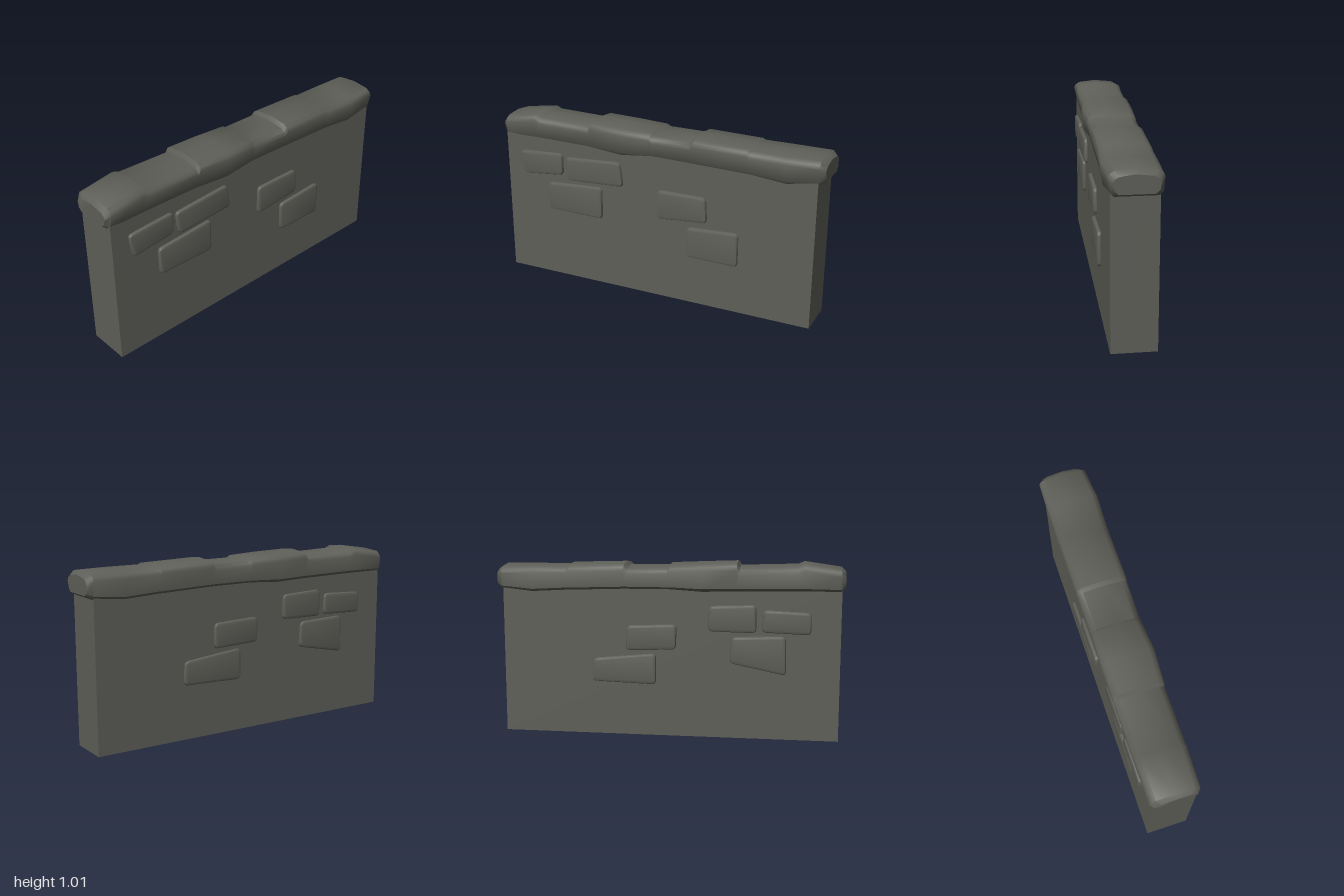
import * as THREE from 'three';
import { toCreasedNormals } from 'three/addons/utils/BufferGeometryUtils.js';

// Outline of a four-cornered stone with rounded corners
function stoneShape(corners, r = 0.025) {
  const pts = corners.map(([x, y]) => new THREE.Vector2(x, y));
  const shape = new THREE.Shape();
  pts.forEach((p, i) => {
    const prev = pts[(i + 3) % 4], next = pts[(i + 1) % 4];
    const a = p.clone().add(prev.clone().sub(p).setLength(r));
    const b = p.clone().add(next.clone().sub(p).setLength(r));
    if (i === 0) shape.moveTo(a.x, a.y); else shape.lineTo(a.x, a.y);
    shape.quadraticCurveTo(p.x, p.y, b.x, b.y);
  });
  shape.closePath();
  return shape;
}

function stoneGeometry(corners) {
  const geo = new THREE.ExtrudeGeometry(stoneShape(corners), {
    depth: 0.02, bevelThickness: 0.012, bevelSize: 0.014, bevelOffset: -0.014,
    bevelSegments: 2, curveSegments: 3,
  });
  return toCreasedNormals(geo, 0.75);
}

// Cross-section of the coping: top, bottom, front and back limits, drawn in by an inset
function copingSection([x, top, bottom, front, back, inset = 0]) {
  const t = top - inset, b = bottom + inset, f = front - inset, k = back + inset;
  return [
    [k + 0.028, b], [0, b], [f - 0.03, b], [f - 0.013, b + 0.018],
    [f, t - 0.045], [f - 0.009, t - 0.026], [f - 0.034, t - 0.011],
    [0, t],
    [k + 0.034, t - 0.011], [k + 0.009, t - 0.026], [k, t - 0.045], [k + 0.006, b + 0.018],
  ].map(([z, y]) => [x, y, z]);
}

// Skin a row of sections and close both ends
function loft(sections) {
  const n = sections[0].length, last = (sections.length - 1) * n, index = [];
  for (let i = 0; i < sections.length - 1; i++) {
    for (let j = 0; j < n; j++) {
      const a = i * n + j, b = i * n + (j + 1) % n;
      index.push(a, a + n, b + n, a, b + n, b);
    }
  }
  for (let j = 1; j < n - 1; j++) {
    index.push(0, j, j + 1, last, last + j + 1, last + j);
  }
  const geo = new THREE.BufferGeometry();
  geo.setAttribute('position', new THREE.Float32BufferAttribute(sections.flat(2), 3));
  geo.setIndex(index);
  return toCreasedNormals(geo.toNonIndexed(), 0.7);
}

export function createModel() {
  const group = new THREE.Group();
  const stone = new THREE.MeshStandardMaterial({ color: 0x5e5f58, side: THREE.DoubleSide });
  stone.name = 'grey stone';
  const add = (name, geo, parent = group) => {
    const mesh = new THREE.Mesh(geo, stone);
    mesh.name = name;
    parent.add(mesh);
    return mesh;
  };

  // Wall body, open underneath
  const wall = new THREE.BoxGeometry(1.945, 0.88, 0.245);
  wall.setIndex([...wall.index.array].filter((_, i) => i < 18 || i >= 24));
  wall.clearGroups();
  add('wall', wall).position.set(-0.0075, 0.44, -0.0025);

  // Coping with uneven slabs: x, top, bottom, front, back, inset
  const stations = [
    [-1.0, 0.982, 0.85, 0.13, -0.142, 0.018],
    [-0.975, 0.986, 0.85, 0.132, -0.146],
    [-0.77, 1.015, 0.853, 0.135, -0.15],
    [-0.735, 1.0, 0.853, 0.135, -0.15],
    [-0.41, 0.99, 0.848, 0.136, -0.15],
    [-0.395, 1.015, 0.848, 0.138, -0.15],
    [-0.2, 1.008, 0.843, 0.151, -0.152],
    [-0.015, 1.0, 0.85, 0.138, -0.146],
    [0, 0.988, 0.85, 0.137, -0.146],
    [0.23, 0.986, 0.85, 0.141, -0.147],
    [0.25, 1.005, 0.85, 0.142, -0.147],
    [0.57, 0.996, 0.84, 0.141, -0.148],
    [0.585, 0.988, 0.84, 0.141, -0.148],
    [0.79, 0.987, 0.829, 0.15, -0.148],
    [0.97, 0.986, 0.845, 0.134, -0.144],
    [1.0, 0.982, 0.845, 0.132, -0.14, 0.018],
  ];
  add('coping', loft(stations.map(copingSection)));

  // Raised stones, each as top-left, top-right, bottom-right, bottom-left seen face on
  const frontStones = [
    [[-0.88, 0.777], [-0.59, 0.792], [-0.59, 0.66], [-0.86, 0.633]],
    [[-0.57, 0.775], [-0.205, 0.796], [-0.187, 0.65], [-0.555, 0.633]],
    [[-0.695, 0.6], [-0.328, 0.622], [-0.33, 0.423], [-0.692, 0.43]],
    [[0.035, 0.67], [0.333, 0.67], [0.342, 0.52], [0.03, 0.495]],
    [[0.218, 0.474], [0.532, 0.492], [0.532, 0.288], [0.22, 0.292]],
  ];
  const backStones = [
    [[-0.235, 0.645], [0.055, 0.655], [0.05, 0.51], [-0.24, 0.5]],
    [[-0.43, 0.45], [-0.065, 0.485], [-0.065, 0.303], [-0.44, 0.315]],
    [[0.24, 0.765], [0.508, 0.775], [0.508, 0.615], [0.235, 0.62]],
    [[0.548, 0.747], [0.815, 0.735], [0.815, 0.61], [0.54, 0.62]],
    [[0.37, 0.59], [0.675, 0.6], [0.68, 0.375], [0.36, 0.44]],
  ];
  const front = new THREE.Group(), back = new THREE.Group();
  front.name = 'frontStones';
  back.name = 'backStones';
  front.position.z = 0.108;
  back.position.z = -0.111;
  back.rotation.y = Math.PI;
  frontStones.forEach((c, i) => add('frontStone' + (i + 1), stoneGeometry(c), front));
  backStones.forEach((c, i) => add('backStone' + (i + 1), stoneGeometry(c), back));
  group.add(front, back);
  return group;
}
